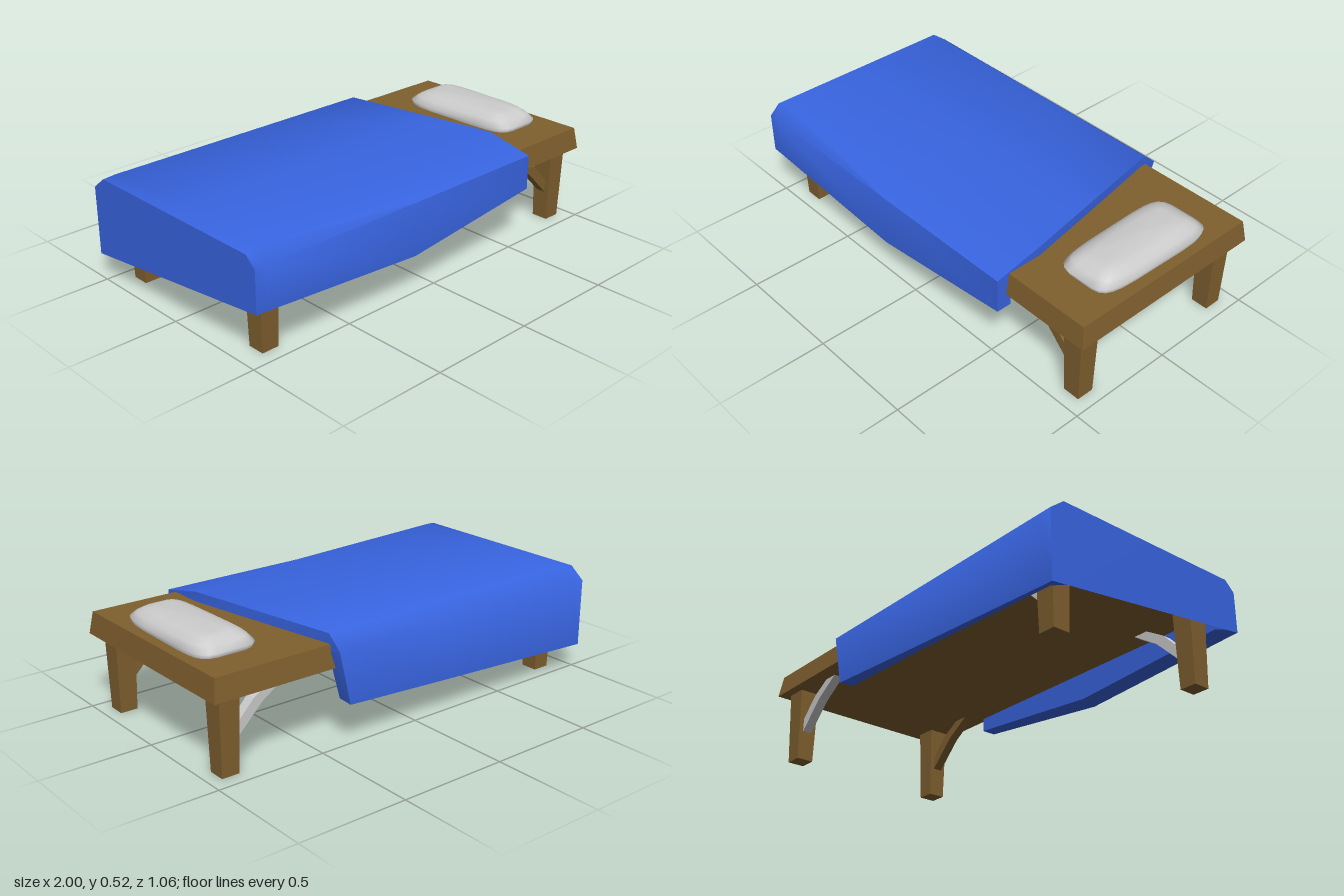
import * as THREE from 'three';
import { mergeGeometries, toCreasedNormals } from 'three/addons/utils/BufferGeometryUtils.js';

const wood = new THREE.MeshStandardMaterial({ color: 0x80602f, flatShading: true });
const cloth = new THREE.MeshStandardMaterial({ color: 0x3864e0, side: THREE.DoubleSide });
const grey = new THREE.MeshStandardMaterial({ color: 0xcccccc });

function addMesh(parent, name, geometry, material, x = 0, y = 0, z = 0) {
  const mesh = new THREE.Mesh(geometry, material);
  mesh.name = name;
  mesh.position.set(x, y, z);
  parent.add(mesh);
  return mesh;
}

// Skin rows of points; closed rows join their last point to the first
function loft(rows, closed) {
  const n = rows[0].length, index = [];
  for (let i = 0; i < rows.length - 1; i++) {
    for (let j = 0; j < (closed ? n : n - 1); j++) {
      const k = (j + 1) % n;
      const a = i * n + j, b = i * n + k, c = a + n, d = b + n;
      index.push(a, b, d, a, d, c);
    }
  }
  const g = new THREE.BufferGeometry();
  g.setAttribute('position', new THREE.Float32BufferAttribute(rows.flat(2), 3));
  g.setIndex(index);
  g.computeVertexNormals();
  return g;
}

// Box whose top face is scaled, standing on y = 0
function taperedBox(w, h, d, topX, topZ) {
  const g = new THREE.BoxGeometry(w, h, d).translate(0, h / 2, 0);
  const p = g.attributes.position;
  for (let i = 0; i < p.count; i++) {
    if (p.getY(i) > h / 2) p.setXYZ(i, p.getX(i) * topX, h, p.getZ(i) * topZ);
  }
  g.computeVertexNormals();
  return g;
}

// Curved bracket between leg and underside; side is +1 or -1 along x
function braceGeometry(side) {
  const s = new THREE.Shape();
  s.moveTo(-0.30 * side, 0.35);
  s.lineTo(-0.17 * side, 0.265);
  s.lineTo(-0.03 * side, 0.125);
  s.lineTo(-0.03 * side, 0.185);
  s.lineTo(-0.13 * side, 0.29);
  s.lineTo(-0.23 * side, 0.35);
  s.closePath();
  return new THREE.ExtrudeGeometry(s, { depth: 0.045, bevelEnabled: false }).translate(0, 0, -0.0225);
}

// Thick draped blanket: outer and inner walls per cross-section
function blanketGeometry() {
  const outer = (xs, back, front, top, ridge) => [
    [-0.53, back], [-0.53, 0.43], [-0.46, top], [0, top], [ridge, top], [0.53, 0.44], [0.53, front],
  ].map(([z, y], i) => [xs[i], y, z]);
  const inner = (xs, back, front) => [
    [-0.46, back + 0.025], [-0.46, 0.40], [-0.44, 0.42], [0, 0.42], [0.30, 0.42], [0.46, 0.40], [0.46, front + 0.02],
  ].map(([z, y], i) => [xs[i], y, z]);
  const flat = x => Array(7).fill(x);
  const headX = [0.38, 0.435, 0.435, 0.517, 0.57, 0.57, 0.57];

  // At the foot the inner wall meets the slanting hem
  const hem = [-0.46, -0.45, -0.44, 0, 0.30, 0.45, 0.46]
    .map(z => [-1, 0.1825 + z * 0.1274, z]);
  const outers = [
    outer(flat(-1), 0.115, 0.25, 0.485, 0.48),
    outer(flat(-0.94), 0.118, 0.247, 0.49, 0.47),
    outer(flat(-0.15), 0.16, 0.195, 0.49, 0.40),
    outer(headX, 0.19, 0.28, 0.49, 0.30),
  ];
  const inners = [
    hem,
    inner(flat(-0.94), 0.13, 0.247),
    inner(flat(-0.15), 0.16, 0.195),
    inner(headX, 0.17, 0.26),
  ];
  const body = loft(outers.map((o, i) => [...o, ...inners[i].slice().reverse()]), true);
  const foot = loft([inners[0], outers[0]], false);
  const head = loft([outers[3], inners[3]], false);
  return toCreasedNormals(mergeGeometries([body, foot, head]), 1.0);
}

// Soft pillow from rounded rectangular rings, a little wider at the back
function pillowGeometry() {
  const rings = [[0.44, 0.138, 0.300], [0.465, 0.144, 0.312], [0.49, 0.125, 0.280], [0.51, 0.095, 0.245], [0.519, 0.06, 0.205], [0.521, 0, 0]];
  const round = v => Math.sign(v) * Math.pow(Math.abs(v), 0.4);
  return loft(rings.map(([y, hx, hz]) => Array.from({ length: 24 }, (_, i) => {
    const a = (i + 0.5) / 24 * Math.PI * 2;
    const z = -round(Math.sin(a)) * hz;
    return [round(Math.cos(a)) * hx * (1 - z * 0.15), y, z];
  })), true);
}

export function createModel() {
  const bed = new THREE.Group();
  bed.name = 'bed';

  // Wooden board
  addMesh(bed, 'board', taperedBox(1.945, 0.1, 0.968, 0.985, 0.968), wood, 0.0225, 0.345, 0);

  // Legs with curved braces
  for (const sx of [-1, 1]) {
    for (const sz of [-1, 1]) {
      const leg = new THREE.Group();
      leg.name = (sz > 0 ? 'front' : 'back') + (sx > 0 ? 'Left' : 'Right') + 'Leg';
      leg.position.set(0.02 + sx * 0.88, 0, sz * 0.393);
      bed.add(leg);
      addMesh(leg, 'post', taperedBox(0.08, 0.35, 0.08, 1.2, 1.2), wood);
      addMesh(leg, 'brace', braceGeometry(sx), sx > 0 && sz > 0 ? wood : grey);
    }
  }

  addMesh(bed, 'blanket', blanketGeometry(), cloth);
  addMesh(bed, 'pillow', pillowGeometry(), grey, 0.795, 0, -0.005);
  return bed;
}
